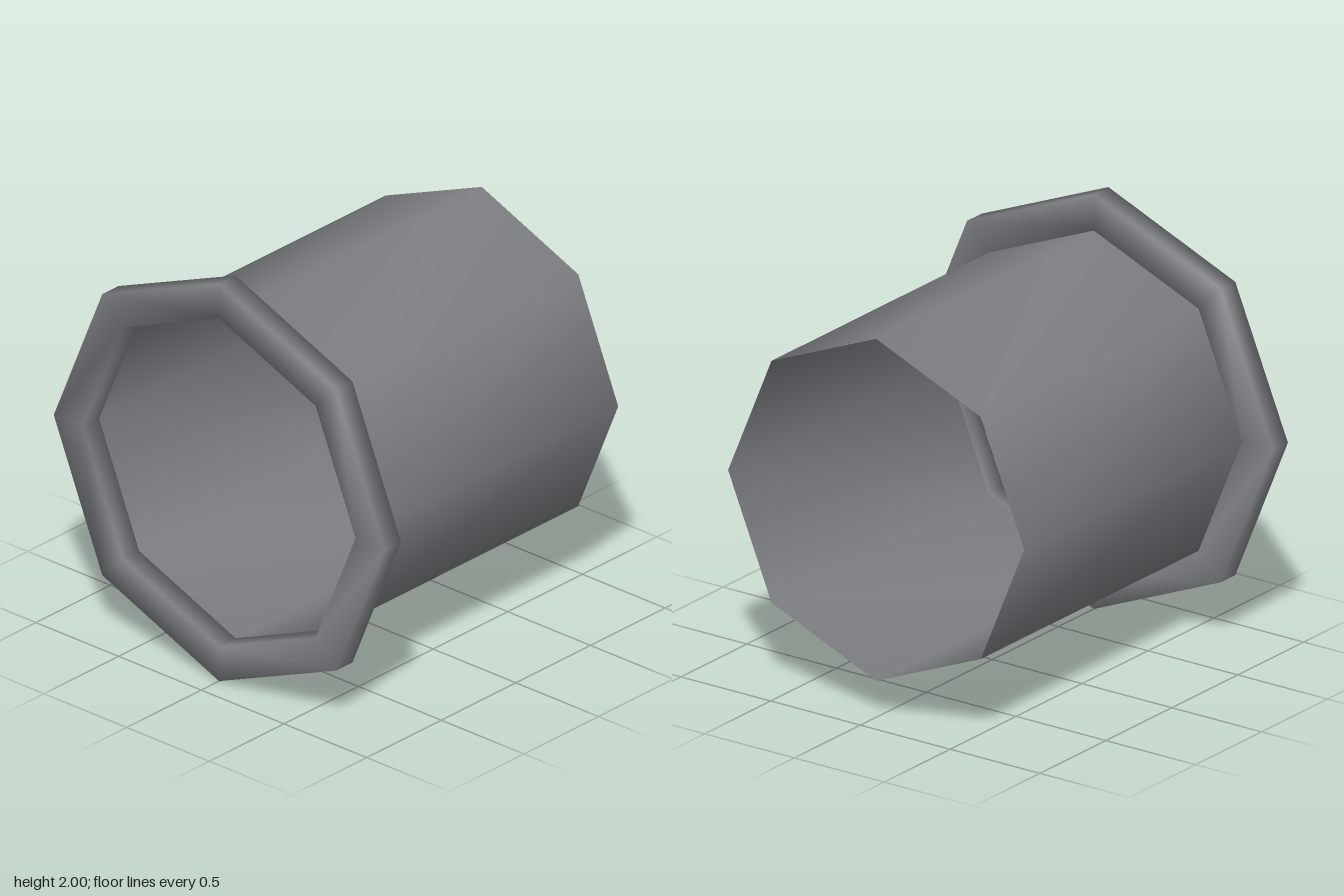
import * as THREE from 'three';
import { mergeVertices } from 'three/addons/utils/BufferGeometryUtils.js';

const SIDES = 8, INNER = 0.825, OUTER = 1, BACK = -0.88, STEP = 0.77, FRONT = 0.88;

// Eight-sided solid of revolution about z, with normals smoothed over every edge
function smoothLathe(profile) {
  const g = new THREE.LatheGeometry(profile.map(([r, z]) => new THREE.Vector2(r, z)), SIDES);
  g.deleteAttribute('normal');
  g.deleteAttribute('uv');
  const merged = mergeVertices(g, 1e-4);
  merged.rotateX(Math.PI / 2);
  merged.computeVertexNormals();
  return merged;
}

export function createModel() {
  const group = new THREE.Group();
  const metal = new THREE.MeshStandardMaterial({ color: 0x7c7e82 });
  metal.name = 'greyMetal';
  metal.side = THREE.DoubleSide;

  // Thin open pipe
  const pipe = new THREE.Mesh(smoothLathe([[INNER, BACK], [INNER, STEP]]), metal);
  pipe.name = 'pipe';

  // Closed collar around the front end
  const flange = new THREE.Mesh(smoothLathe([
    [INNER, STEP], [OUTER, STEP], [OUTER, FRONT], [INNER, FRONT], [INNER, STEP],
  ]), metal);
  flange.name = 'flange';

  for (const part of [pipe, flange]) {
    part.position.y = 1;
    group.add(part);
  }
  return group;
}
